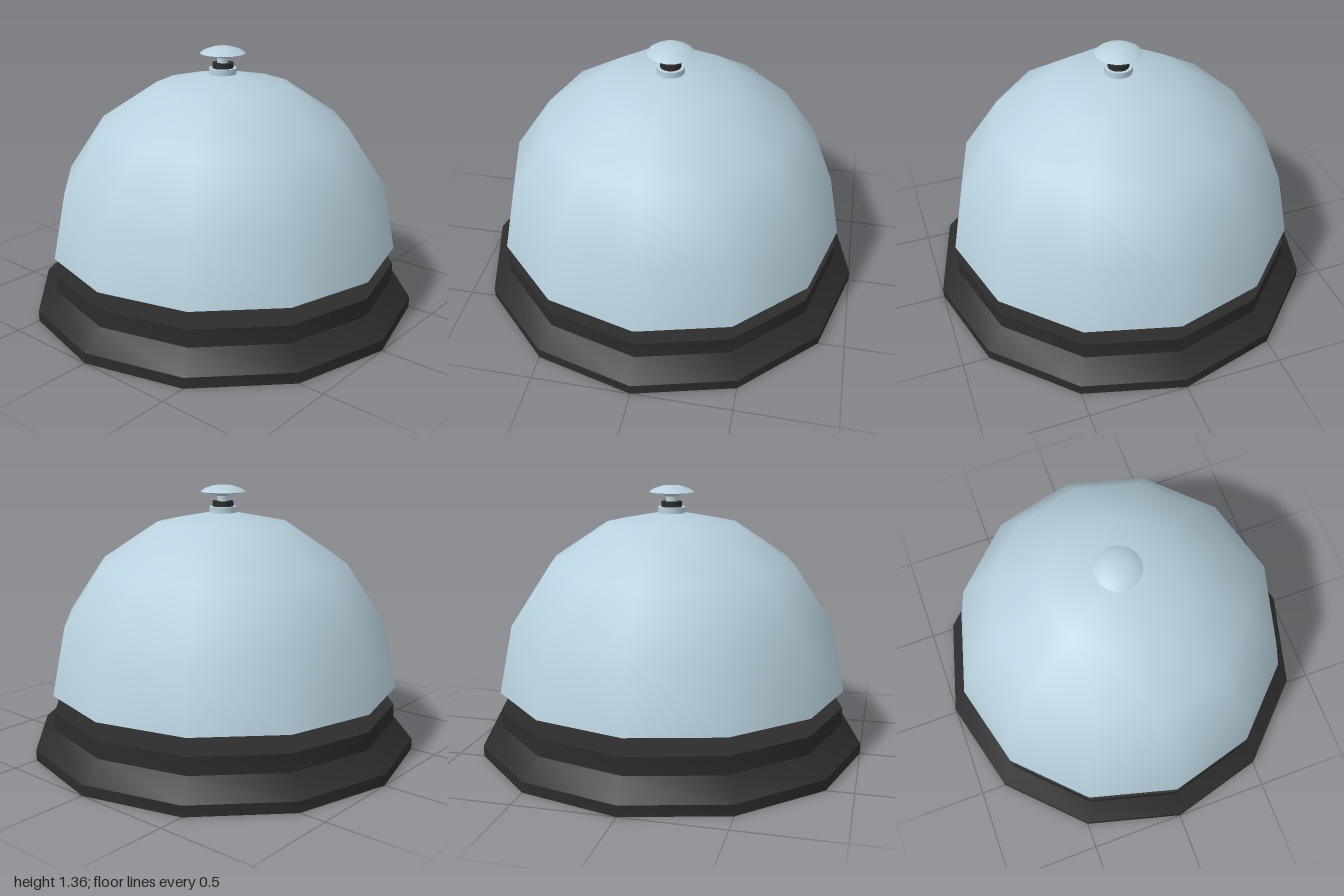
import * as THREE from 'three';
import { toCreasedNormals } from 'three/addons/utils/BufferGeometryUtils.js';

const steel = new THREE.MeshStandardMaterial({ color: 0xb8d1de, side: THREE.DoubleSide });
steel.name = 'pale blue steel';
const black = new THREE.MeshStandardMaterial({ color: 0x2c2c2c });
black.name = 'black';

export function createModel() {
  const bell = new THREE.Group();
  bell.name = 'deskBell';

  // Turns a bottom-to-top [radius, height] profile around the y axis
  function turned(name, profile, sides, material, crease = 0.6) {
    const points = profile.map(([r, y]) => new THREE.Vector2(r, y));
    const geometry = toCreasedNormals(new THREE.LatheGeometry(points, sides), crease);
    const mesh = new THREE.Mesh(geometry, material);
    mesh.name = name;
    bell.add(mesh);
  }

  // Flared foot with a straight upper rim
  turned('base', [[0, 0], [1, 0], [1, 0.055], [0.9, 0.15], [0.9, 0.24], [0, 0.24]], 12, black);

  // Open hemispherical dome, four bands high
  const dome = [];
  for (let i = 0; i <= 4; i++) {
    const a = (i / 4) * Math.PI / 2;
    dome.push([i === 4 ? 0 : 0.903 * Math.cos(a), 0.33 + 0.9 * Math.sin(a)]);
  }
  turned('dome', dome, 12, steel, 0.8);

  // Central rod joining the base to the dome
  turned('rod', [[0.03, 0.23], [0.03, 1.22]], 12, steel);

  // Collar, nut and plunger stem
  turned('collar', [[0, 1.205], [0.07, 1.205], [0.07, 1.247], [0, 1.247]], 16, steel);
  turned('nut', [[0, 1.247], [0.053, 1.247], [0.053, 1.274], [0, 1.274]], 16, black);
  turned('stem', [[0.03, 1.27], [0.03, 1.3], [0.05, 1.317]], 12, steel);

  // Domed push button
  turned('button', [[0, 1.312], [0.05, 1.312], [0.116, 1.322], [0.095, 1.337], [0.05, 1.352], [0, 1.356]], 16, steel, 0.7);

  return bell;
}
